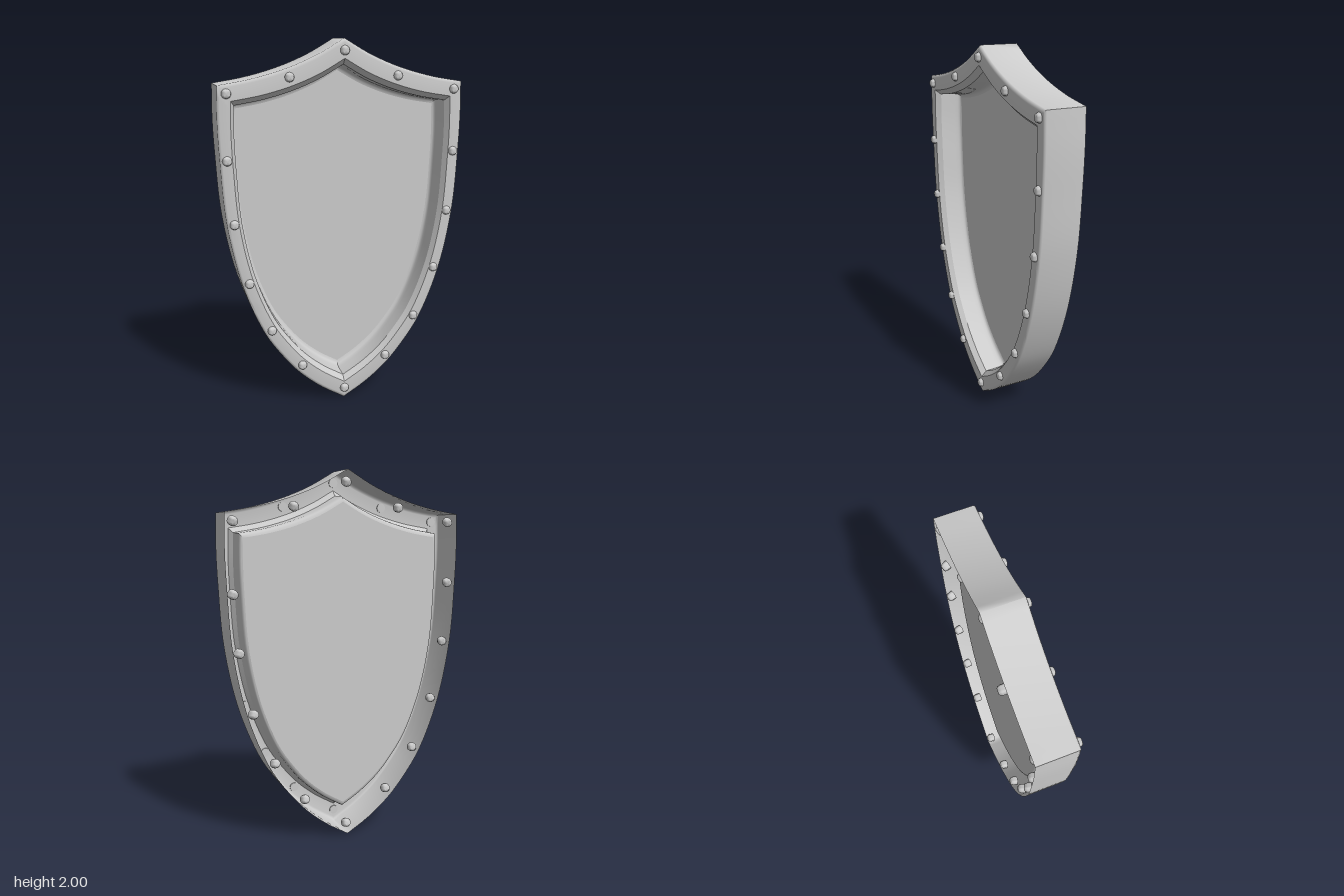
import * as THREE from 'three';
import { toCreasedNormals } from 'three/addons/utils/BufferGeometryUtils.js';

// The body is one open sheet, hollow at the back
const sheetMaterial = new THREE.MeshStandardMaterial({ color: 0xcccccc, side: THREE.DoubleSide });
const rivetMaterial = new THREE.MeshStandardMaterial({ color: 0xcccccc });
const CENTER_Y = 1;
const PANEL_SCALE = 0.836;
const PANEL_Z = -0.036;

// Half outline as two curves: the hollow top edge and the long side down to the tip
function makeOutline() {
  const curve = (pts, n) =>
    new THREE.CatmullRomCurve3(pts.map(([x, y]) => new THREE.Vector3(x, y, 0))).getSpacedPoints(n);
  const top = curve([[0, 2], [0.14, 1.921], [0.3, 1.855], [0.48, 1.805], [0.655, 1.775]], 14);
  const side = curve([[0.655, 1.775], [0.659, 1.6], [0.653, 1.4], [0.63, 1.07], [0.558, 0.723],
    [0.445, 0.44], [0.35, 0.297], [0.255, 0.185], [0.13, 0.08], [0, 0]], 40);
  const right = [...top, ...side.slice(1)]; // peak to tip
  const left = right.slice(1, -1).map((p) => new THREE.Vector3(-p.x, p.y, 0));
  return [...left, ...right.slice().reverse()]; // counter-clockwise from the front
}

const scaled = (outline, s) =>
  outline.map((p) => new THREE.Vector2(p.x * s, CENTER_Y + (p.y - CENTER_Y) * s));

// Strip through a list of [scale, z] rings that follow the outline
function ringStrip(outline, rings, creaseAngle) {
  const n = outline.length;
  const positions = [];
  const index = [];
  rings.forEach(([s, z], k) => {
    scaled(outline, s).forEach((p) => positions.push(p.x, p.y, z));
    if (k === 0) return;
    for (let i = 0; i < n; i++) {
      const j = (i + 1) % n;
      const a = (k - 1) * n + i, b = (k - 1) * n + j, c = k * n + j, d = k * n + i;
      index.push(a, b, c, a, c, d);
    }
  });
  const g = new THREE.BufferGeometry();
  g.setAttribute('position', new THREE.Float32BufferAttribute(positions, 3));
  g.setIndex(index);
  return toCreasedNormals(g, creaseAngle);
}

// Rivet along +y with a rounded head; its shank reaches down by depth
function rivet(depth) {
  const profile = [[0, -depth], [0.025, -depth], [0.025, 0.004], [0.02, 0.018], [0.014, 0.022], [0, 0.022]]
    .map(([r, y]) => new THREE.Vector2(r, y));
  return toCreasedNormals(new THREE.LatheGeometry(profile, 16), 0.9);
}

export function createModel() {
  const shield = new THREE.Group();
  shield.name = 'shield';
  const add = (name, geometry, material) => {
    const mesh = new THREE.Mesh(geometry, material);
    mesh.name = name;
    shield.add(mesh);
    return mesh;
  };
  const outline = makeOutline();

  // Outer wall, open at the back, and the flat front rim with a small bevel
  add('rim', ringStrip(outline, [
    [1, -0.103], [1, 0.103], [0.994, 0.111], [0.98, 0.114], [0.9, 0.114],
  ], 1.1), sheetMaterial);

  // Deep dish behind the rim: chamfer, steep wall, rounded foot and flat panel
  add('dishWall', ringStrip(outline, [
    [0.9, 0.114], [0.87, 0.085], [0.866, 0], [0.862, -0.018], [0.857, -0.027],
    [0.848, -0.033], [PANEL_SCALE, PANEL_Z],
  ], 0.5), sheetMaterial);
  add('panel', new THREE.ShapeGeometry(new THREE.Shape(scaled(outline, PANEL_SCALE))), sheetMaterial)
    .position.z = PANEL_Z;

  // Rivets, mirrored left and right
  const half = [[0.29, 1.81], [0.61, 1.735], [0.617, 1.4], [0.592, 1.067],
    [0.524, 0.74], [0.41, 0.46], [0.243, 0.235]];
  const spots = [[0, 1.94], [0, 0.063], ...half, ...half.map(([x, y]) => [-x, y])];
  const frontGeometry = rivet(0.003);
  const backGeometry = rivet(0.018);
  const up = new THREE.Vector3(0, 1, 0);

  spots.forEach(([x, y]) => {
    const front = add('frontRivet', frontGeometry, rivetMaterial);
    front.position.set(x, y, 0.112);
    front.rotation.x = Math.PI / 2;

    // Back rivet ends lean slightly inward, level with the back edge
    const rear = add('backRivet', backGeometry, rivetMaterial);
    const loose = x === -0.29; // one stands proud of the rest
    const low = x === 0.617; // one sits lower than its twin
    const inward = new THREE.Vector3(-x, CENTER_Y - y, 0).normalize().multiplyScalar(loose ? 0.15 : 0.35);
    rear.position.set(x, low ? 1.365 : y - 0.005, loose ? -0.11 : -0.083);
    rear.quaternion.setFromUnitVectors(up, inward.setZ(-1).normalize());
  });

  return shield;
}
